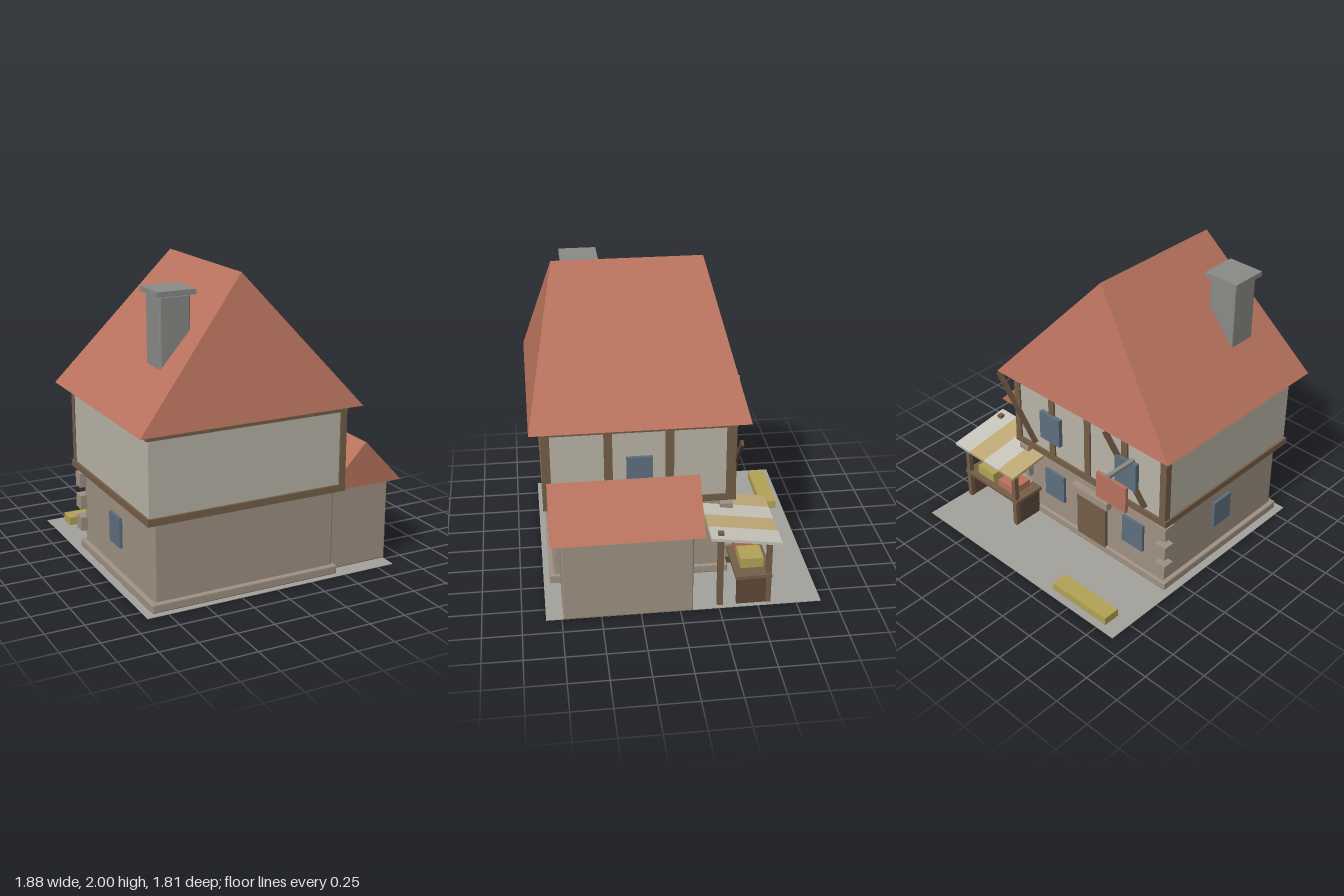
import * as THREE from 'three';
import { RoundedBoxGeometry } from 'three/addons/geometries/RoundedBoxGeometry.js';

const COLORS = {
  roof: 0xb9735e, plaster: 0xbab5a8, stone: 0xa09283, wood: 0x765f48, darkWood: 0x5f4a38,
  glass: 0x5f6f80, chimney: 0x8b8c88, ground: 0xa5a29c, straw: 0xb3a457, tan: 0xc0aa78, cloth: 0xc9c6bd,
};
const materials = Object.fromEntries(Object.entries(COLORS).map(
  ([key, color]) => [key, new THREE.MeshStandardMaterial({ color })]));

// Slopes and underside of a roof with its ridge along z
function roofGeometry(x0, x1, z0, z1, eave, top, ridge0, ridge1) {
  const xm = (x0 + x1) / 2;
  const A = [x0, eave, z0], B = [x1, eave, z0], C = [x1, eave, z1], D = [x0, eave, z1];
  const E = [xm, top, ridge0], F = [xm, top, ridge1];
  const faces = [A, E, B, D, C, F, B, E, F, B, F, C, A, D, F, A, F, E, A, B, C, A, C, D];
  const geo = new THREE.BufferGeometry();
  geo.setAttribute('position', new THREE.Float32BufferAttribute(faces.flat(), 3));
  geo.computeVertexNormals();
  return geo;
}

export function createModel() {
  const model = new THREE.Group();
  model.name = 'house';

  const add = (name, geo, mat, parent = model) => {
    const mesh = new THREE.Mesh(geo, materials[mat]);
    mesh.name = name;
    parent.add(mesh);
    return mesh;
  };
  const group = (name) => {
    const g = new THREE.Group();
    g.name = name;
    model.add(g);
    return g;
  };
  // Box given by its limits on each axis; a bevel chamfers the edges
  const box = (name, mat, [x0, x1], [y0, y1], [z0, z1], parent = model, bevel = 0) => {
    const size = [x1 - x0, y1 - y0, z1 - z0];
    const geo = bevel ? new RoundedBoxGeometry(...size, 1, bevel) : new THREE.BoxGeometry(...size);
    if (bevel) geo.computeVertexNormals();
    const mesh = add(name, geo, mat, parent);
    mesh.position.set((x0 + x1) / 2, (y0 + y1) / 2, (z0 + z1) / 2);
    return mesh;
  };
  const around = (c, half) => [c - half, c + half];

  // Ground and stone lower floor
  box('ground', 'ground', [-0.89, 0.87], [0, 0.004], [-0.91, 0.85]);
  box('plinth', 'stone', [-0.84, 0.46], [0.001, 0.06], [-0.37, 0.81], model, 0.008);
  box('lowerWalls', 'stone', [-0.81, 0.44], [0.01, 0.57], [-0.35, 0.78], model, 0.012);

  // Rear corner stones
  const quoins = group('cornerStones');
  for (const x of [-0.813, 0.443])
    for (const y of [0.18, 0.335, 0.49])
      box('cornerStone', 'stone', around(x, 0.042), around(y, 0.048), [-0.392, -0.31], quoins);

  // Plastered upper floor and its timber frame
  box('upperWalls', 'plaster', [-0.855, 0.483], [0.57, 1.14], [-0.395, 0.815]);
  const frame = group('timberFrame');
  for (const [y0, y1] of [[0.572, 0.617], [1.095, 1.14]])
    box('beltBeam', 'wood', [-0.87, 0.494], [y0, y1], [-0.41, 0.83], frame);
  for (let i = 0; i < 5; i++)
    box('rearPost', 'wood', around(-0.835 + i * 0.326, 0.025), [0.6, 1.11], [-0.407, -0.36], frame);
  for (let i = 0; i < 4; i++)
    box('sidePost', 'wood', [0.45, 0.492], [0.6, 1.11], around(-0.37 + i * 0.39, 0.027), frame);
  for (const x of [-0.52, 0.47]) {
    const brace = box('diagonalBrace', 'darkWood', around(x, 0.27), around(0.85, 0.02), [-0.42, -0.4], frame);
    brace.rotation.z = 0.88;
  }

  // Main roof and chimney
  add('mainRoof', roofGeometry(-0.94, 0.56, -0.49, 0.90, 1.14, 2, -0.28, 0.70), 'roof');
  box('chimney', 'chimney', [-0.675, -0.475], [1.15, 1.88], [0.405, 0.605], model, 0.01);
  box('chimneyCap', 'chimney', [-0.70, -0.45], [1.88, 1.912], [0.38, 0.63]);

  // Side annex
  box('annexWalls', 'stone', [0.42, 0.877], [0.002, 0.572], [-0.08, 0.74], model, 0.008);
  add('annexRoof', roofGeometry(0.38, 0.935, -0.147, 0.805, 0.57, 0.862, -0.147, 0.805), 'roof');

  // Door and windows
  box('door', 'wood', [-0.31, -0.05], [0.05, 0.40], [-0.372, -0.33]);
  box('doorLintel', 'stone', [-0.35, -0.02], [0.405, 0.46], [-0.40, -0.33]);
  const windows = group('windows');
  for (const [x, y, z] of [[-0.55, 0.32, -0.355], [0.17, 0.32, -0.355], [-0.535, 0.835, -0.41],
    [0.145, 0.835, -0.41], [0.66, 0.315, -0.085]])
    box('rearWindow', 'glass', around(x, 0.09), around(y, 0.105), around(z, 0.015), windows);
  for (const [x, y] of [[-0.815, 0.33], [0.488, 0.825]])
    box('sideWindow', 'glass', around(x, 0.015), around(y, 0.1), around(0.213, 0.083), windows);

  // Hanging sign
  box('signArm', 'chimney', [-0.59, -0.563], [0.93, 0.955], [-0.62, -0.39]);
  box('signBoard', 'roof', [-0.70, -0.45], [0.71, 0.90], [-0.598, -0.575]);

  // Market stall
  const stall = group('marketStall');
  for (const x of [0.35, 0.825]) {
    box('stallBackPost', 'wood', around(x, 0.017), [0, 0.54], [-0.277, -0.24], stall);
    box('stallFrontPost', 'wood', around(x, 0.017), [0, 0.455], [-0.587, -0.553], stall);
    box('stallSidePanel', 'darkWood', around(x, 0.014), [0, 0.2], [-0.58, -0.365], stall);
  }
  box('counter', 'wood', [0.32, 0.855], [0.195, 0.218], [-0.59, -0.355], stall);
  box('strawCrate', 'straw', [0.60, 0.76], [0.218, 0.285], [-0.55, -0.40], stall);
  box('redCrate', 'roof', [0.39, 0.55], [0.218, 0.27], [-0.55, -0.40], stall);
  for (let i = 0; i < 4; i++) {
    const x = 0.29 + i * 0.1475;
    const strip = box('awningStrip', i % 2 ? 'cloth' : 'tan', [x, x + 0.1475],
      around(0.488, 0.01), around(-0.415, 0.226), stall);
    strip.rotation.x = -0.145;
  }

  // Low trough in the yard
  box('trough', 'straw', [-0.78, -0.31], [0, 0.06], [-0.86, -0.745]);

  return model;
}
